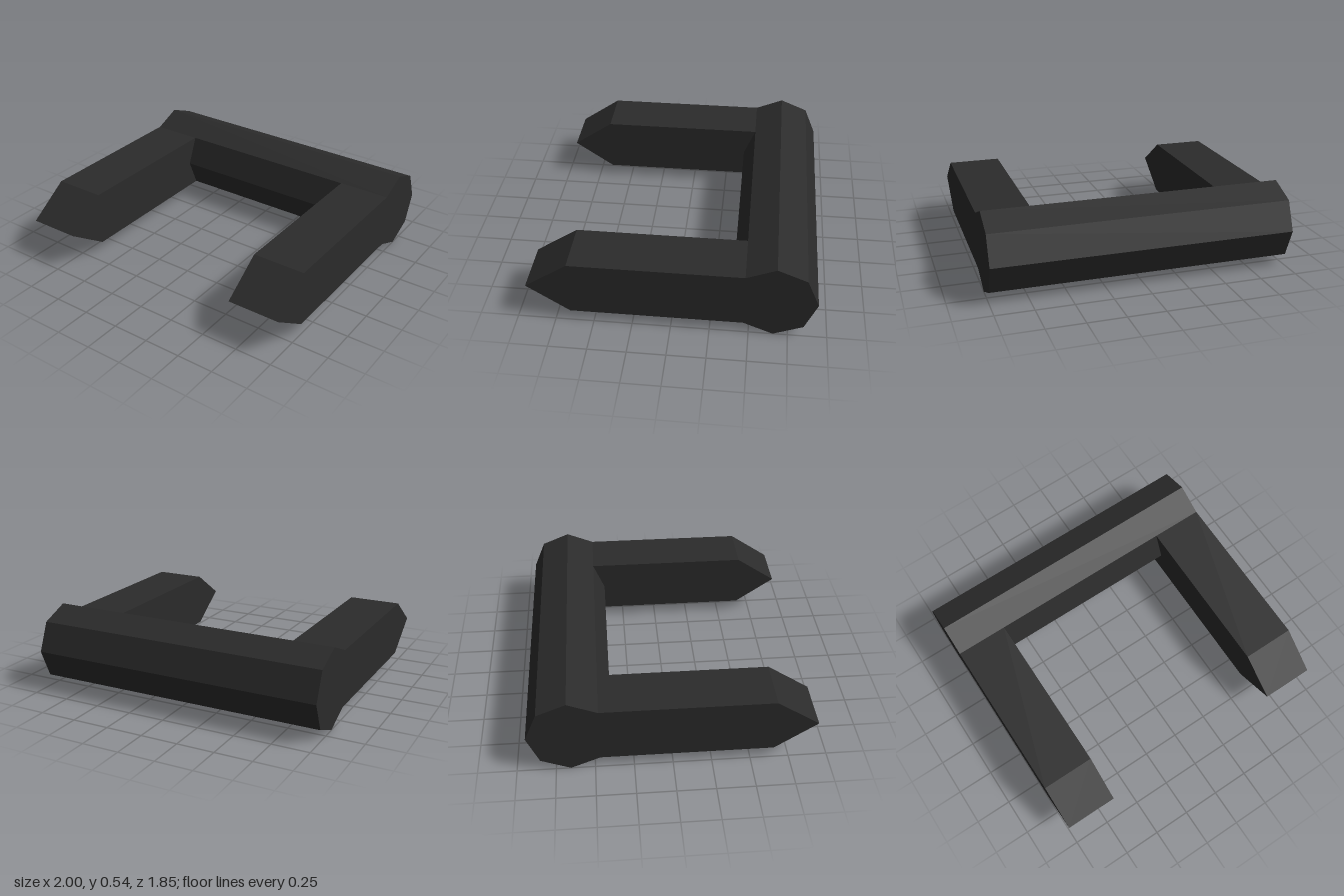
import * as THREE from 'three';

const HALF_WIDTH = 1, ARM_WIDTH = 0.355;
const MID_Y = 0.274, BAR_Z = -0.656, BAR_RADIUS = 0.27;

// Gives every face its own normal for a faceted look
function faceted(geometry) {
  const flat = geometry.index ? geometry.toNonIndexed() : geometry;
  flat.computeVertexNormals();
  return flat;
}

export function createModel() {
  const group = new THREE.Group();
  group.name = 'forkedBracket';
  const charcoal = new THREE.MeshStandardMaterial({ color: 0x2b2b2b });
  charcoal.name = 'charcoal';

  // Octagonal bar across the back
  const barGeometry = new THREE.CylinderGeometry(BAR_RADIUS, BAR_RADIUS, 2 * HALF_WIDTH, 8);
  barGeometry.rotateZ(Math.PI / 2);
  const bar = new THREE.Mesh(faceted(barGeometry), charcoal);
  bar.name = 'crossBar';
  bar.position.set(0, MID_Y, BAR_Z);
  group.add(bar);

  // Arm side profile (z, y): notched to fit the bar, pointed at the front
  const h = BAR_RADIUS * Math.SQRT1_2;
  const profile = new THREE.Shape([
    [BAR_Z + h, -h], [0.65, -h], [0.926, 0], [0.65, h], [BAR_Z + h, h], [BAR_Z + BAR_RADIUS, 0],
  ].map(([z, y]) => new THREE.Vector2(z, y)));
  const armGeometry = new THREE.ExtrudeGeometry(profile, { depth: ARM_WIDTH, bevelEnabled: false });
  armGeometry.translate(0, 0, -ARM_WIDTH / 2);
  armGeometry.rotateY(-Math.PI / 2);
  const flatArm = faceted(armGeometry);

  // One arm at each end of the bar
  for (const [name, side] of [['leftArm', 1], ['rightArm', -1]]) {
    const arm = new THREE.Mesh(flatArm, charcoal);
    arm.name = name;
    arm.position.set(side * (HALF_WIDTH - ARM_WIDTH / 2), MID_Y, 0);
    group.add(arm);
  }

  // Rest on the ground
  group.position.y = BAR_RADIUS - MID_Y;
  return group;
}
